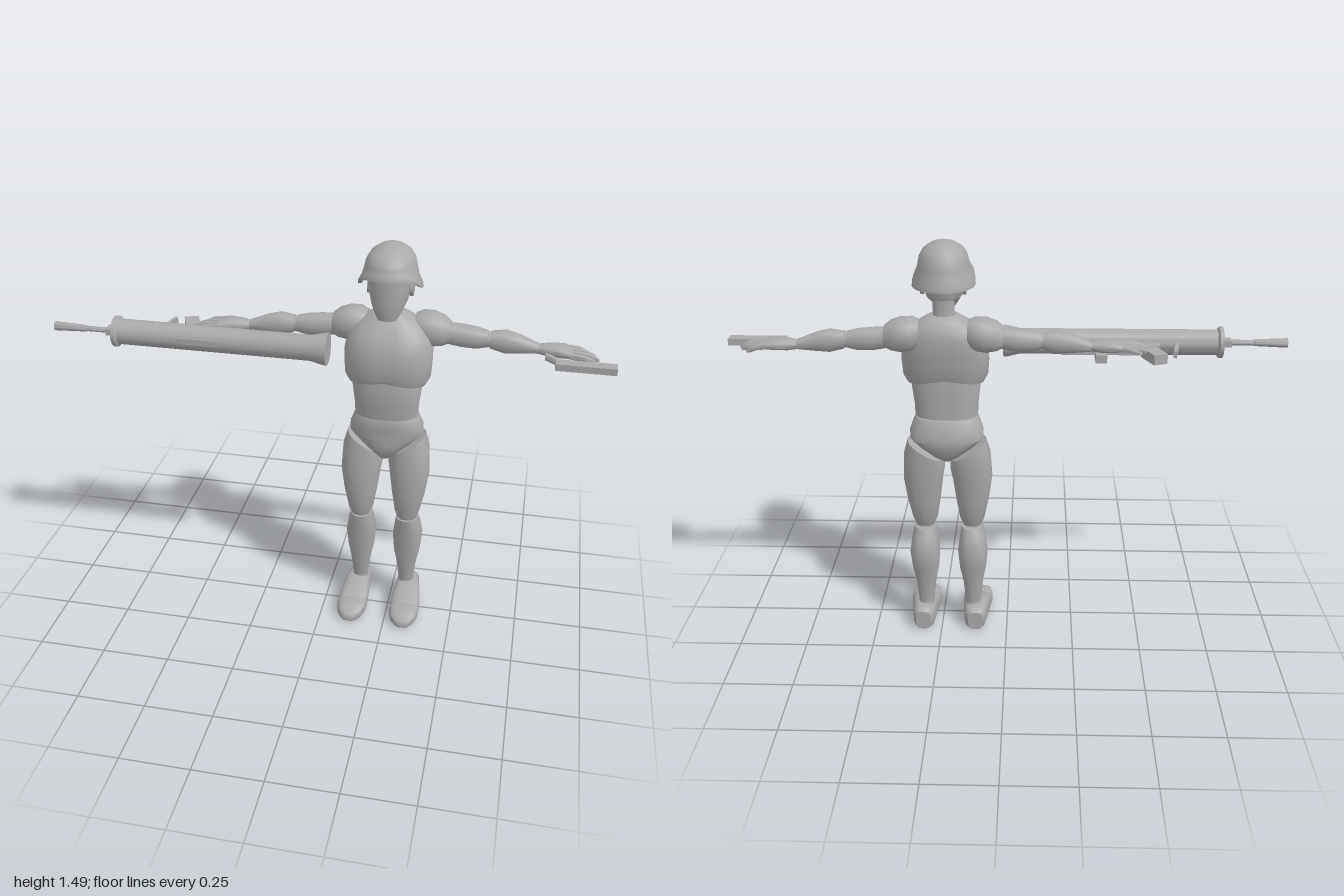
import * as THREE from 'three';
import { toCreasedNormals } from 'three/addons/utils/BufferGeometryUtils.js';

const plainGrey = new THREE.MeshStandardMaterial({ color: 0xaaaaaa });
plainGrey.name = 'plainGrey';

function add(parent, name, geometry, crease = 0.65) {
  const mesh = new THREE.Mesh(toCreasedNormals(geometry, crease), plainGrey);
  mesh.name = name;
  parent.add(mesh);
  return mesh;
}

// Loft through rounded sections [along, u0, u1, v0, v1].
// axis y: u = x, v = z; axis x: u = y, v = z; axis z: u = x, v = y. side -1 mirrors x.
function loft(sections, { axis = 'y', side = 1, power = 2.4, n = 20, warp = null } = {}) {
  const pos = [], idx = [];
  const round = (c) => Math.sign(c) * Math.pow(Math.abs(c), 2 / power);
  const put = (a, u, v) => {
    const p = axis === 'y' ? new THREE.Vector3(u, a, v)
      : axis === 'x' ? new THREE.Vector3(a, u, v) : new THREE.Vector3(u, v, a);
    if (warp) warp(p);
    pos.push(p.x * side, p.y, p.z);
  };
  const flip = (axis !== 'y') !== (side < 0);
  const tri = (a, b, c) => (flip ? idx.push(a, c, b) : idx.push(a, b, c));
  for (const [a, u0, u1, v0, v1] of sections) {
    for (let j = 0; j < n; j++) {
      const t = (j / n) * Math.PI * 2;
      put(a, (u0 + u1) / 2 + round(Math.cos(t)) * (u1 - u0) / 2, (v0 + v1) / 2 + round(Math.sin(t)) * (v1 - v0) / 2);
    }
  }
  const last = (sections.length - 1) * n;
  for (const s of [sections[0], sections[sections.length - 1]]) put(s[0], (s[1] + s[2]) / 2, (s[3] + s[4]) / 2);
  for (let j = 0; j < n; j++) {
    const k = (j + 1) % n;
    for (let i = 0; i < last; i += n) {
      tri(i + j, i + n + j, i + k);
      tri(i + k, i + n + j, i + n + k);
    }
    tri(last + n, j, k);
    tri(last + n + 1, last + k, last + j);
  }
  const g = new THREE.BufferGeometry();
  g.setAttribute('position', new THREE.Float32BufferAttribute(pos, 3));
  g.setIndex(idx);
  return g;
}

const box = (x0, x1, y0, y1, z0, z1) =>
  new THREE.BoxGeometry(x1 - x0, y1 - y0, z1 - z0).translate((x0 + x1) / 2, (y0 + y1) / 2, (z0 + z1) / 2);
const ball = (r, x, y, z) => new THREE.SphereGeometry(r, 18, 12).translate(x, y, z);
const ramp = THREE.MathUtils.smoothstep;

function buildHead(body) {
  const head = new THREE.Group();
  head.name = 'head';
  body.add(head);
  add(head, 'neck', loft([
    [1.19, -0.05, 0.05, -0.09, 0.01], [1.24, -0.038, 0.038, -0.078, -0.008], [1.32, -0.04, 0.04, -0.085, -0.01]]));
  add(head, 'face', loft([
    [1.243, -0.034, 0.034, 0.015, 0.075], [1.27, -0.05, 0.05, -0.035, 0.081], [1.295, -0.062, 0.062, -0.085, 0.083],
    [1.35, -0.074, 0.074, -0.105, 0.083], [1.43, -0.074, 0.074, -0.105, 0.08]]));
  for (const s of [-1, 1]) {
    add(head, 'ear', new THREE.CylinderGeometry(0.032, 0.032, 0.012, 16).rotateZ(Math.PI / 2).translate(s * 0.073, 1.335, -0.03));
  }
  // Hollow helmet, its rim raised over the face
  add(head, 'helmet', loft([
    [1.42, -0.08, 0.08, -0.11, 0.085], [1.338, -0.1, 0.1, -0.135, 0.105], [1.336, -0.111, 0.111, -0.146, 0.115],
    [1.348, -0.11, 0.11, -0.146, 0.115], [1.375, -0.098, 0.098, -0.136, 0.108], [1.405, -0.09, 0.09, -0.131, 0.103],
    [1.435, -0.084, 0.084, -0.125, 0.098], [1.46, -0.07, 0.07, -0.108, 0.083], [1.477, -0.046, 0.046, -0.08, 0.052],
    [1.486, -0.018, 0.018, -0.045, 0.015]], {
    n: 28, power: 2.1,
    warp: (p) => { p.y += 0.057 * ramp(p.z, -0.03, 0.1) * THREE.MathUtils.clamp((1.46 - p.y) / 0.115, 0, 1); },
  }));
}

function buildTorso(body) {
  const torso = new THREE.Group();
  torso.name = 'torso';
  body.add(torso);
  // Chest with an arched lower edge and a shallow centre groove
  add(torso, 'chest', loft([
    [0.985, -0.138, 0.138, -0.102, 0.072], [1.01, -0.152, 0.152, -0.108, 0.078], [1.06, -0.156, 0.156, -0.118, 0.082],
    [1.11, -0.156, 0.156, -0.127, 0.08], [1.16, -0.142, 0.142, -0.132, 0.062], [1.195, -0.118, 0.118, -0.126, 0.035],
    [1.22, -0.08, 0.08, -0.11, 0.012], [1.236, -0.052, 0.052, -0.088, -0.002]], {
    n: 32,
    warp: (p) => {
      const mid = Math.max(0, 1 - Math.abs(p.x) / 0.13);
      if (p.y < 1.03) p.y += 0.022 * mid * (1.03 - p.y) / 0.045;
      if (p.z > 0.02 && p.y > 1.02 && Math.abs(p.x) < 0.012) p.z -= 0.005;
    },
  }));
  add(torso, 'abdomen', loft([
    [0.855, -0.114, 0.114, -0.095, 0.06], [0.9, -0.116, 0.116, -0.095, 0.068],
    [0.98, -0.126, 0.126, -0.098, 0.074], [1.02, -0.115, 0.115, -0.095, 0.068]], { n: 28 }));
  add(torso, 'pelvis', loft([
    [0.678, -0.025, 0.025, -0.06, 0.025], [0.705, -0.055, 0.055, -0.1, 0.045], [0.74, -0.1, 0.1, -0.118, 0.05],
    [0.772, -0.134, 0.134, -0.125, 0.05], [0.8, -0.134, 0.134, -0.12, 0.052], [0.84, -0.119, 0.119, -0.108, 0.058],
    [0.852, -0.112, 0.112, -0.102, 0.054]], { n: 28 }));
}

function buildLeg(body, side) {
  const leg = new THREE.Group();
  leg.name = side > 0 ? 'leftLeg' : 'rightLeg';
  body.add(leg);
  // Thigh top slopes down towards the groin
  add(leg, 'thigh', loft([
    [0.415, 0.052, 0.125, -0.066, 0.022], [0.44, 0.042, 0.135, -0.078, 0.03], [0.52, 0.029, 0.152, -0.092, 0.04],
    [0.61, 0.018, 0.165, -0.103, 0.045], [0.7, 0.01, 0.16, -0.114, 0.04], [0.765, 0.014, 0.143, -0.115, 0.034]], {
    side, warp: (p) => { if (p.y > 0.6) p.y -= (0.145 - p.x) * 0.6 * (p.y - 0.6) / 0.165; },
  }));
  add(leg, 'knee', ball(0.036, side * 0.09, 0.412, -0.025));
  add(leg, 'shin', loft([
    [0.095, 0.062, 0.119, -0.09, -0.032], [0.18, 0.052, 0.128, -0.095, -0.016], [0.24, 0.04, 0.14, -0.108, -0.006],
    [0.31, 0.034, 0.147, -0.121, 0.004], [0.37, 0.042, 0.138, -0.106, 0.016], [0.407, 0.048, 0.128, -0.085, 0.02]], { side }));
  add(leg, 'ankle', ball(0.03, side * 0.09, 0.09, -0.06));
  add(leg, 'foot', loft([
    [-0.13, 0.072, 0.128, 0, 0.074], [-0.115, 0.058, 0.138, 0, 0.087], [-0.03, 0.05, 0.15, 0, 0.092],
    [0.02, 0.046, 0.156, 0, 0.073], [0.06, 0.046, 0.158, 0, 0.054]], { side, axis: 'z', power: 3.2 }));
  add(leg, 'toeCap', loft([
    [0.05, 0.045, 0.159, 0, 0.052], [0.08, 0.046, 0.159, 0, 0.059], [0.12, 0.056, 0.15, 0, 0.048],
    [0.142, 0.075, 0.132, 0, 0.035], [0.15, 0.088, 0.12, 0.005, 0.022]], { side, axis: 'z', power: 3.2 }));
}

function buildArm(body, side) {
  const arm = new THREE.Group();
  arm.name = side > 0 ? 'leftArm' : 'rightArm';
  body.add(arm);
  const o = { side, axis: 'x', n: 16 };
  add(arm, 'shoulder', loft([
    [0.085, 1.13, 1.22, -0.12, -0.015], [0.11, 1.115, 1.231, -0.135, -0.004], [0.15, 1.11, 1.23, -0.138, -0.003],
    [0.185, 1.115, 1.218, -0.126, -0.012], [0.208, 1.125, 1.2, -0.11, -0.028]], o));
  add(arm, 'upperArm', loft([
    [0.195, 1.122, 1.195, -0.105, -0.032], [0.25, 1.113, 1.192, -0.11, -0.03],
    [0.3, 1.112, 1.187, -0.105, -0.03], [0.34, 1.12, 1.178, -0.095, -0.038]], o));
  add(arm, 'elbow', ball(0.027, side * 0.345, 1.147, -0.066));
  add(arm, 'forearm', loft([
    [0.348, 1.117, 1.177, -0.097, -0.036], [0.4, 1.104, 1.185, -0.104, -0.029],
    [0.45, 1.107, 1.172, -0.098, -0.034], [0.515, 1.112, 1.146, -0.088, -0.043]], o));
  add(arm, 'palm', loft([
    [0.505, 1.114, 1.142, -0.085, -0.045], [0.55, 1.108, 1.15, -0.097, -0.03],
    [0.6, 1.11, 1.15, -0.104, -0.018], [0.63, 1.115, 1.14, -0.102, -0.014]], o));
  // Four jointed fingers and a thumb
  [0.69, 0.712, 0.722, 0.712].forEach((tip, i) => {
    const z = -0.094 + i * 0.024;
    const mid = (0.62 + tip) / 2;
    add(arm, 'finger', loft([
      [0.62, 1.117, 1.141, z - 0.01, z + 0.01], [mid, 1.114, 1.136, z - 0.011, z + 0.011],
      [tip - 0.012, 1.106, 1.125, z - 0.009, z + 0.009], [tip, 1.106, 1.116, z - 0.005, z + 0.005]], { ...o, n: 8 }));
  });
  add(arm, 'thumb', loft([
    [0.54, 1.1, 1.13, -0.05, -0.022], [0.59, 1.09, 1.117, -0.03, -0.003], [0.645, 1.088, 1.107, -0.016, 0.004]], { ...o, n: 8 }));
}

function buildLauncher() {
  const launcher = new THREE.Group();
  launcher.name = 'launcher';
  const cy = 1.11, cz = 0.048;
  const lie = (g, x = 0) => g.rotateZ(-Math.PI / 2).translate(x, cy, cz);
  // Tube open at the rear, closed at the flared front
  const profile = [[0, -0.5], [0.038, -0.5], [0.038, -0.768], [0.056, -0.768], [0.056, -0.755], [0.046, -0.748],
    [0.046, -0.045], [0.057, 0.003], [0.058, 0.015], [0, 0.015]].map(([r, a]) => new THREE.Vector2(r, a));
  add(launcher, 'tube', lie(new THREE.LatheGeometry(profile, 28)), 0.5);
  add(launcher, 'rearRod', lie(new THREE.CylinderGeometry(0.01, 0.01, 0.42, 10), -0.69));
  add(launcher, 'rodEnd', lie(new THREE.CylinderGeometry(0.012, 0.017, 0.12, 10), -0.94));
  add(launcher, 'rodCollar', box(-0.8, -0.765, cy - 0.012, cy + 0.012, 0.025, 0.068));
  add(launcher, 'sidePlate', box(-0.52, -0.37, 1.103, 1.124, 0.09, 0.097));
  // Grip, shoulder stock and trigger behind the tube
  add(launcher, 'gripRail', box(-0.54, -0.19, 1.085, 1.12, -0.03, 0.012));
  add(launcher, 'rearGrip', box(-0.026, 0.026, -0.018, 0.018, -0.048, 0.048).rotateY(0.4).translate(-0.515, 1.1, -0.073));
  add(launcher, 'frontGrip', box(-0.35, -0.31, 1.075, 1.105, -0.09, -0.02));
  add(launcher, 'sight', box(-0.006, 0.006, -0.012, 0.012, -0.05, 0.05).rotateY(-0.2).translate(-0.594, 1.11, -0.045));
  return launcher;
}

export function createModel() {
  const model = new THREE.Group();
  model.name = 'helmetedFigure';
  const body = new THREE.Group();
  body.name = 'body';
  body.position.x = 0.22;
  model.add(body);
  buildHead(body);
  buildTorso(body);
  for (const side of [1, -1]) {
    buildLeg(body, side);
    buildArm(body, side);
  }
  model.add(buildLauncher());
  // Small block held in the left hand
  add(model, 'heldBlock', box(0.795, 1, 1.1, 1.124, -0.002, 0.042));
  return model;
}
